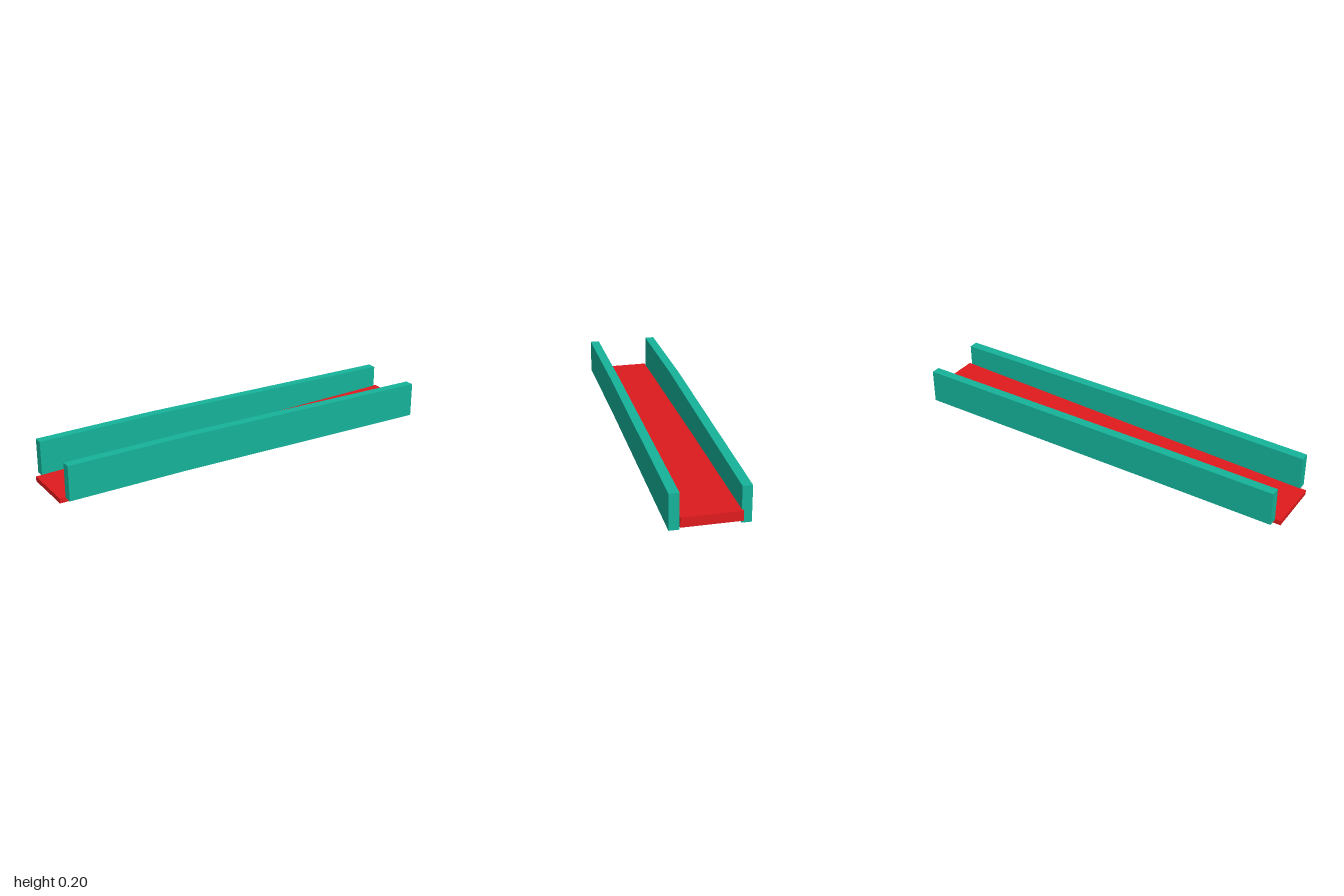
import * as THREE from 'three';

// Rectangular bar swept along x; each section is [x, y0, y1, z0, z1].
function bar(name, color, sections) {
  const pos = [];
  const corners = sections.map(([x, y0, y1, z0, z1]) =>
    [[x, y0, z0], [x, y1, z0], [x, y1, z1], [x, y0, z1]]);
  const quad = (a, b, c, d) => pos.push(...a, ...b, ...c, ...a, ...c, ...d);

  for (let i = 0; i < corners.length - 1; i++) {
    const p = corners[i], q = corners[i + 1];
    for (let k = 0; k < 4; k++) {
      const n = (k + 1) % 4;
      quad(p[k], p[n], q[n], q[k]);
    }
  }
  // End caps
  const s = corners[0], e = corners[corners.length - 1];
  quad(s[3], s[2], s[1], s[0]);
  quad(e[0], e[1], e[2], e[3]);

  const geometry = new THREE.BufferGeometry();
  geometry.setAttribute('position', new THREE.Float32BufferAttribute(pos, 3));
  geometry.computeVertexNormals();
  const mesh = new THREE.Mesh(geometry, new THREE.MeshStandardMaterial({ color, flatShading: true }));
  mesh.name = name;
  return mesh;
}

export function createModel() {
  const group = new THREE.Group();
  group.name = 'channel';
  const teal = 0x15b39a, red = 0xe01b1e;

  // Sloping floor, thinner at its low end
  group.add(bar('floor', red, [
    [-1, 0, 0.024, -0.137, 0.14],
    [1, 0.045, 0.093, -0.137, 0.14],
  ]));

  // Side walls, each with a slight bend
  group.add(bar('frontWall', teal, [
    [-0.97, 0.02, 0.193, 0.136, 0.182],
    [-0.37, 0.028, 0.202, 0.136, 0.182],
    [0.985, 0.028, 0.202, 0.14, 0.187],
  ]));
  group.add(bar('backWall', teal, [
    [-0.97, 0.02, 0.193, -0.182, -0.136],
    [-0.37, 0.028, 0.202, -0.186, -0.14],
    [0.985, 0.028, 0.202, -0.178, -0.132],
  ]));
  return group;
}
